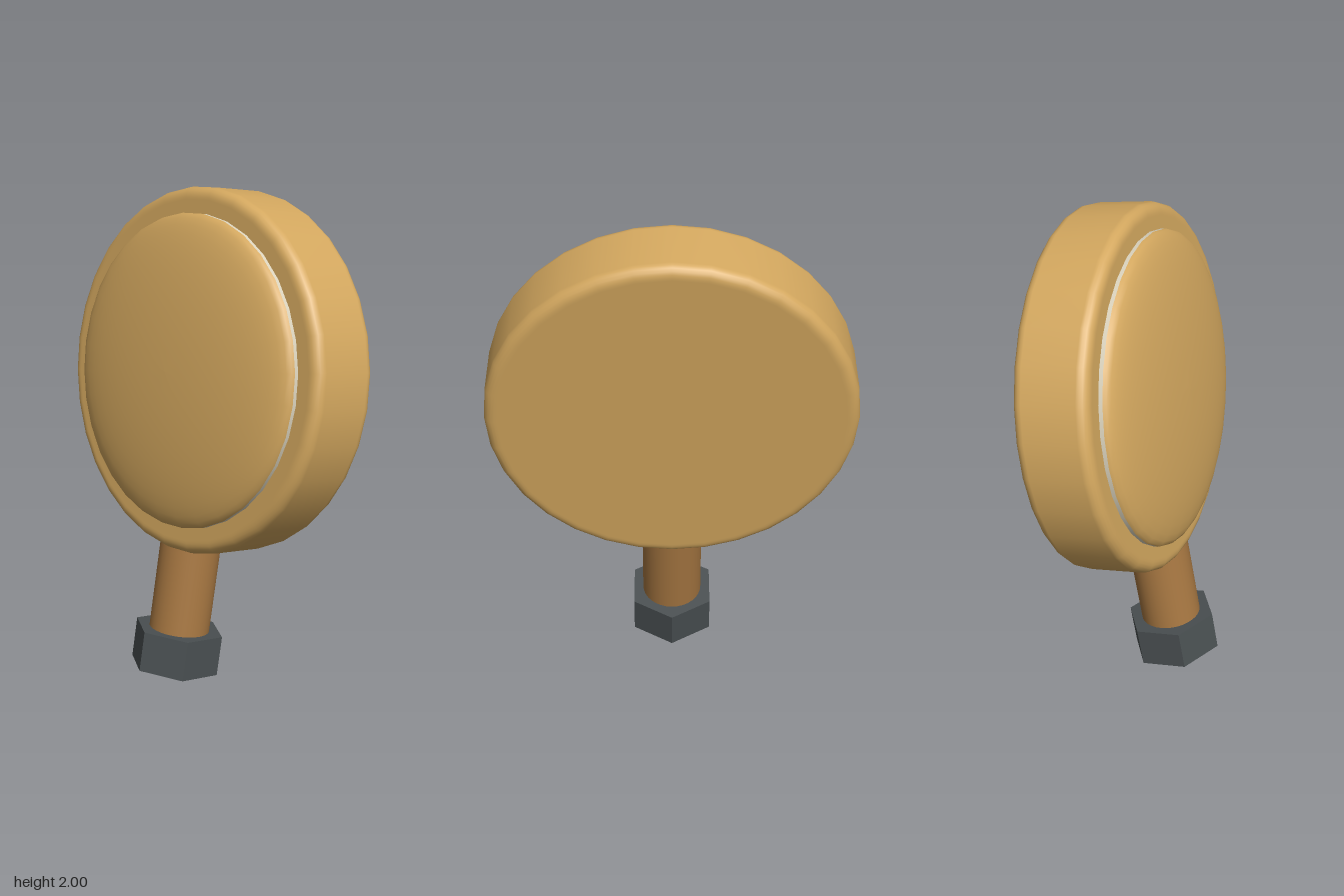
import * as THREE from 'three';

const TILT = THREE.MathUtils.degToRad(10);
const SIDES = 32;

const material = (name, color, extra = {}) => {
  const m = new THREE.MeshStandardMaterial({ color, ...extra });
  m.name = name;
  return m;
};

// Lathe whose axis points to the front (+z); each point is [radius, z]
function turned(points) {
  const profile = points.map(([r, z]) => new THREE.Vector2(r, z));
  return new THREE.LatheGeometry(profile, SIDES).rotateX(Math.PI / 2);
}

export function createModel() {
  const brass = material('brass', 0xd4a85f);
  const cream = material('cream', 0xddd5bf);
  const bronze = material('bronze', 0xa87842);
  const steel = material('dark steel', 0x4a5052, { flatShading: true });

  const root = new THREE.Group();
  root.name = 'gauge';
  const gauge = new THREE.Group();
  gauge.name = 'tiltedGauge';
  gauge.position.set(0, 1.262, -0.06);
  gauge.rotation.x = -TILT;
  root.add(gauge);

  const add = (name, geometry, mat, y = 0) => {
    const mesh = new THREE.Mesh(geometry, mat);
    mesh.name = name;
    mesh.position.y = y;
    gauge.add(mesh);
  };

  // Round case with softened rims
  const radius = 0.725, half = 0.15, bevel = 0.042;
  const caseProfile = [[0, -half], [radius - bevel - 0.01, -half]];
  for (const side of [-1, 1]) {
    for (let i = 0; i <= 5; i++) {
      const a = (side < 0 ? i / 5 - 1 : i / 5) * Math.PI / 2;
      caseProfile.push([
        radius - bevel + bevel * Math.cos(a),
        side * (half - bevel) + bevel * Math.sin(a),
      ]);
    }
  }
  caseProfile.push([radius - bevel - 0.01, half], [0, half]);
  add('case', turned(caseProfile), brass);

  // Thin dial plate showing as a pale line under the lens
  add('dialPlate', new THREE.CylinderGeometry(0.62, 0.62, 0.025, SIDES)
    .rotateX(Math.PI / 2).translate(0, 0, 0.1535), cream);

  // Shallow domed lens
  const dome = [];
  for (let i = 0; i <= 12; i++) {
    const a = i / 12 * Math.PI / 2;
    dome.push([i === 12 ? 0 : 0.62 * Math.cos(a), 0.166 + 0.096 * Math.sin(a)]);
  }
  add('lens', turned(dome), brass);

  // Stem and hexagonal nut below the case
  add('stem', new THREE.CylinderGeometry(0.124, 0.124, 0.46, SIDES), bronze, -0.87);
  add('hexNut', new THREE.CylinderGeometry(0.1875, 0.1875, 0.165, 6), steel, -1.166);

  return root;
}
